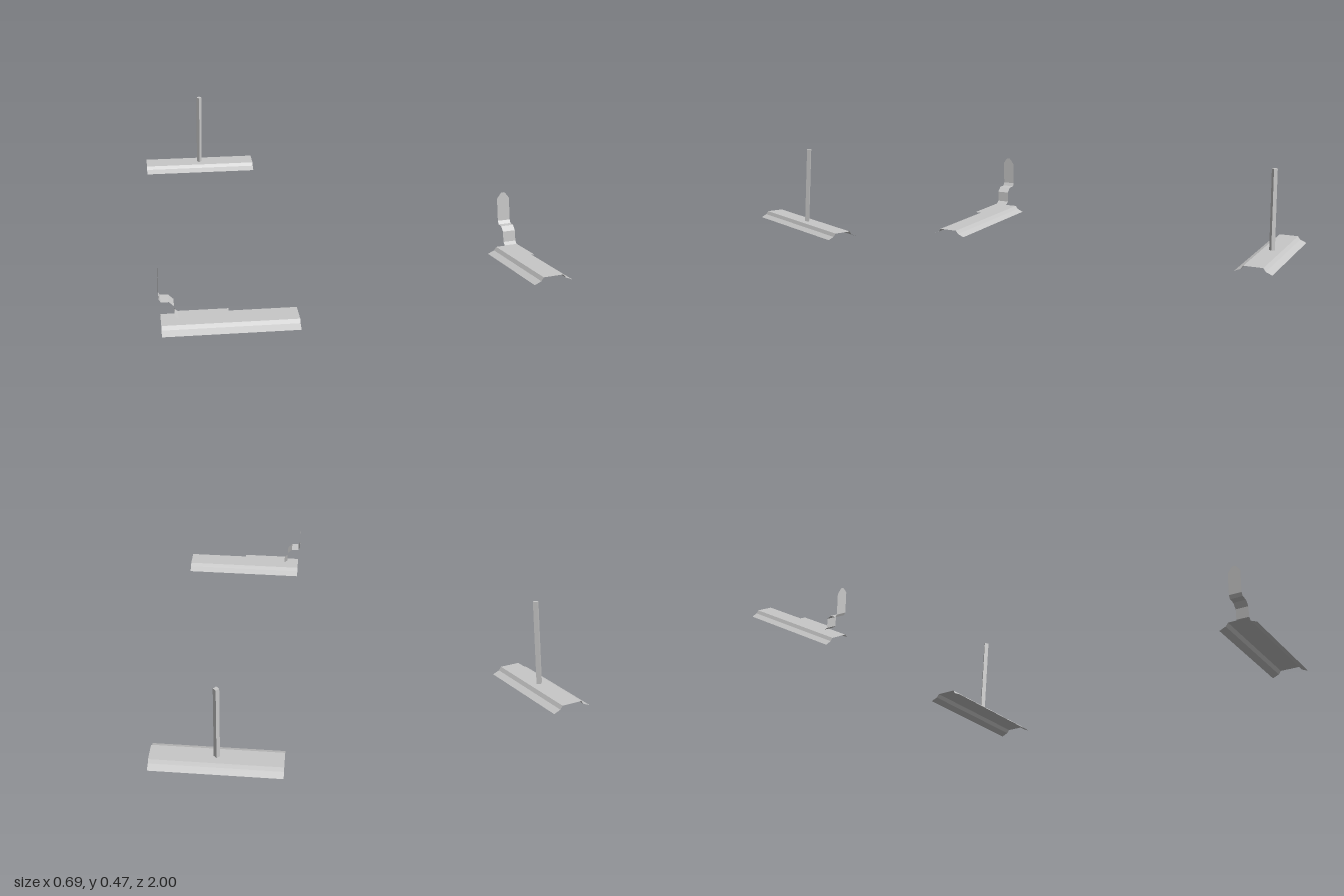
import * as THREE from 'three';

const steel = new THREE.MeshStandardMaterial({ color: 0xc8c8c8, side: THREE.DoubleSide });
steel.name = 'light grey steel';

// Flat-shaded sheet joining two matching edge lines
function sheet(name, edgeA, edgeB) {
  const pos = [];
  for (let i = 0; i < edgeA.length - 1; i++) {
    const [a, b, c, d] = [edgeA[i], edgeB[i], edgeB[i + 1], edgeA[i + 1]];
    pos.push(...a, ...b, ...c, ...a, ...c, ...d);
  }
  const geometry = new THREE.BufferGeometry();
  geometry.setAttribute('position', new THREE.Float32BufferAttribute(pos, 3));
  geometry.computeVertexNormals();
  const mesh = new THREE.Mesh(geometry, steel);
  mesh.name = name;
  return mesh;
}

// Hat-shaped rail lying along x
function rail(name, z) {
  const half = [[0.1, 0], [0.065, 0.015], [0.052, 0.033]]; // z offset, y
  const profile = [...half, ...half.map(([w, y]) => [-w, y]).reverse()];
  const edge = (x) => profile.map(([w, y]) => [x, y, z + w]);
  return sheet(name, edge(-0.335), edge(0.345));
}

export function createModel() {
  const model = new THREE.Group();
  model.name = 'railsWithPostAndBracket';

  model.add(rail('frontRail', 0.9), rail('backRail', -0.9));

  // Square post, turned corner to the front
  const side = 0.0157 * Math.SQRT2;
  const post = new THREE.Mesh(new THREE.BoxGeometry(side, 0.44, side), steel);
  post.name = 'post';
  post.position.set(0.005, 0.253, -0.9);
  post.rotation.y = Math.PI / 4;
  model.add(post);

  // Bent strip bracket with a tapered tip: x, y, half width
  const path = [
    [0, 0.058, 0.034], [-0.25, 0.058, 0.034], [-0.268, 0.073, 0.034],
    [-0.27, 0.13, 0.034], [-0.295, 0.155, 0.034], [-0.335, 0.157, 0.034],
    [-0.345, 0.175, 0.034], [-0.345, 0.297, 0.034],
    [-0.345, 0.322, 0.016], [-0.345, 0.33, 0.008],
  ];
  const edge = (s) => path.map(([x, y, w]) => [x, y, 0.899 + s * w]);
  model.add(sheet('bracket', edge(1), edge(-1)));

  return model;
}
